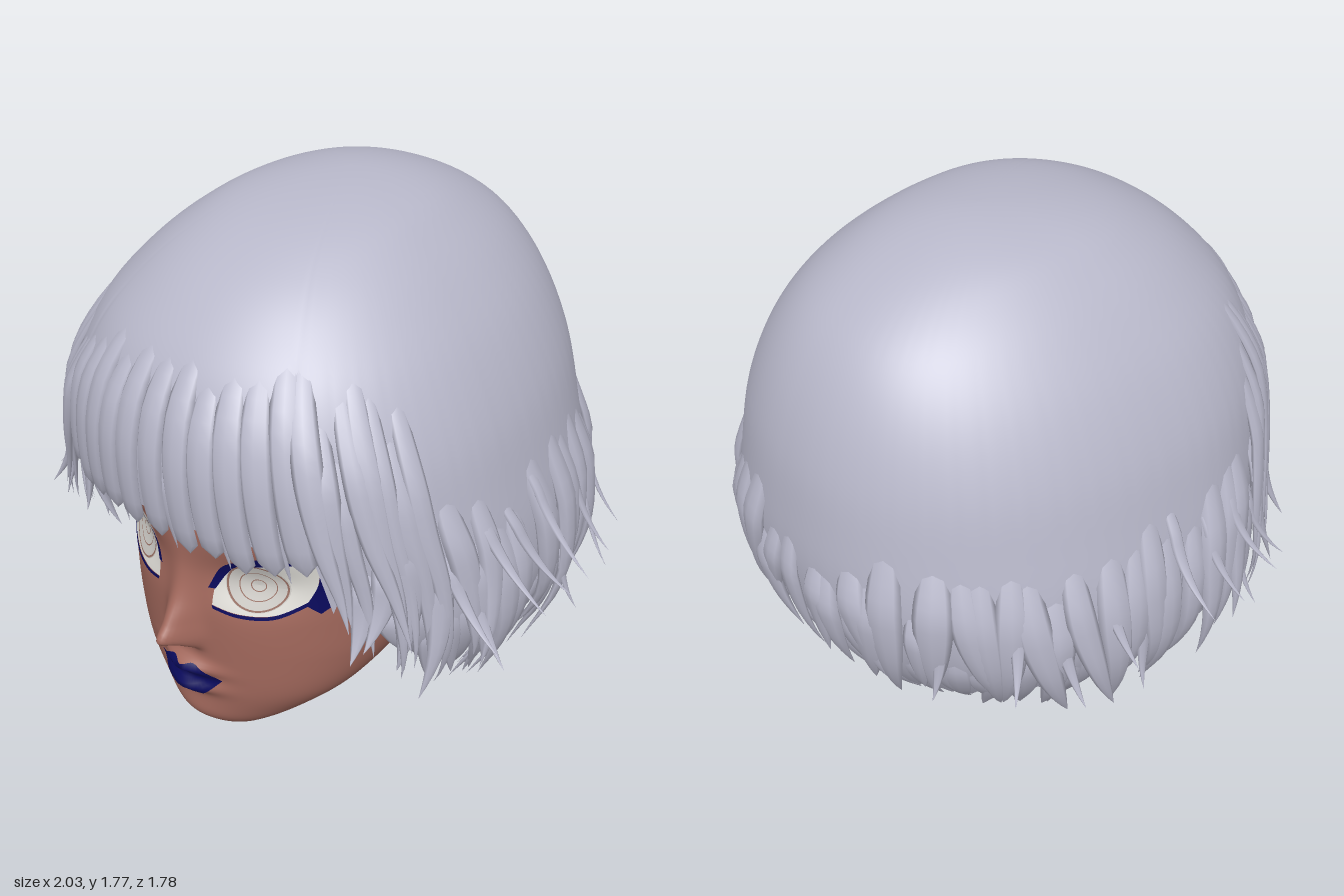
import * as THREE from 'three';
import { mergeGeometries } from 'three/addons/utils/BufferGeometryUtils.js';

const mat = (name, color, side = THREE.DoubleSide) => {
  const m = new THREE.MeshStandardMaterial({ color, side });
  m.name = name;
  return m;
};
const { lerp, degToRad, clamp } = THREE.MathUtils;
const bell = (d, s) => Math.exp(-(d * d) / (s * s));

// Smooth curve through a few [x, y] knots
const curve = (p) => (x) => {
  let i = 1;
  while (i < p.length - 1 && x > p[i][0]) i++;
  const slope = (k) => {
    const a = p[Math.max(k - 1, 0)], b = p[Math.min(k + 1, p.length - 1)];
    return (b[1] - a[1]) / (b[0] - a[0]);
  };
  const h = p[i][0] - p[i - 1][0], t = clamp((x - p[i - 1][0]) / h, 0, 1);
  const t2 = t * t, t3 = t2 * t;
  return (2 * t3 - 3 * t2 + 1) * p[i - 1][1] + (t3 - 2 * t2 + t) * h * slope(i - 1)
    + (3 * t2 - 2 * t3) * p[i][1] + (t3 - t2) * h * slope(i);
};

// Horizontal sections: rows of [y, half width, front z, back z]
const sections = (rows, key) => {
  const c = [1, 2, 3].map((k) => curve(rows.map((r) => [key(r[0]), r[k]])));
  return (y) => c.map((f) => f(key(y)));
};

// Surface from rows of points; wrap joins the last column to the first
function grid(rows, cols, fn, wrap) {
  const pos = [], idx = [], n = wrap ? cols : cols + 1;
  for (let i = 0; i <= rows; i++)
    for (let j = 0; j < n; j++) pos.push(...fn(i / rows, j / cols));
  for (let i = 0; i < rows; i++)
    for (let j = 0; j < cols; j++) {
      const a = i * n + j, b = i * n + ((j + 1) % n);
      idx.push(a, b, a + n, b, b + n, a + n);
    }
  const g = new THREE.BufferGeometry();
  g.setAttribute('position', new THREE.Float32BufferAttribute(pos, 3));
  g.setIndex(idx);
  g.computeVertexNormals();
  return g;
}

// ---- Head ----
const HEAD_TOP = 1.52;
const headAt = sections([
  [0, 0, 0.6, 0.6], [0.03, 0.14, 0.68, 0.46], [0.08, 0.23, 0.72, 0.26], [0.14, 0.31, 0.735, 0.1],
  [0.25, 0.42, 0.745, -0.1], [0.4, 0.5, 0.755, -0.4], [0.55, 0.535, 0.76, -0.58], [0.7, 0.56, 0.755, -0.68],
  [0.9, 0.6, 0.765, -0.74], [1.1, 0.59, 0.73, -0.73], [1.3, 0.5, 0.58, -0.6], [1.45, 0.3, 0.3, -0.35],
  [HEAD_TOP, 0, 0, 0],
], (y) => Math.sqrt(Math.max(y, 0)));
const noseHeight = curve([[0.39, 0], [0.425, 0.045], [0.465, 0.125], [0.52, 0.088], [0.6, 0.038], [0.7, 0.012], [0.82, 0]]);

function relief(x, y) {
  const ax = Math.abs(x);
  return noseHeight(y) * bell(x, 0.05)
    + 0.025 * bell(ax - 0.045, 0.025) * bell(y - 0.43, 0.03)
    + 0.045 * bell(x, 0.1) * (bell(y - 0.315, 0.026) + bell(y - 0.235, 0.032))
    - 0.04 * bell(ax - 0.24, 0.13) * bell(y - 0.7, 0.09)
    + 0.015 * bell(x, 0.12) * bell(y - 0.09, 0.06);
}
function headPoint(a, y) {
  const [w, f, b] = headAt(y), zc = lerp(b, f, 0.58), c = Math.cos(a), x = w * Math.sin(a);
  return [x, y, zc + c * (c > 0 ? f - zc : zc - b) + relief(x, y) * clamp(c * 3, 0, 1)];
}
const faceZ = (x, y) => headPoint(Math.asin(clamp(x / headAt(y)[0], -1, 1)), y)[2];

// Thin painted patch between a lower and an upper edge, laid on the face
function patch(top, bottom, lift, side = 1) {
  const spline = (p) => new THREE.SplineCurve(p.map(([x, y]) => new THREE.Vector2(x * side, y)));
  let hi = spline(top), lo = spline(bottom);
  if (side < 0) [hi, lo] = [lo, hi];
  return grid(8, 28, (v, t) => {
    const p = lo.getPoint(t).lerp(hi.getPoint(t), v);
    return [p.x, p.y, faceZ(p.x, p.y) + lift];
  });
}
function ring(cx, cy, r0, r1, lift) {
  const g = new THREE.RingGeometry(r0, r1, 40, 4).translate(cx, cy, 0), p = g.attributes.position;
  for (let i = 0; i < p.count; i++) p.setZ(i, faceZ(p.getX(i), p.getY(i)) + lift);
  g.computeVertexNormals();
  return g;
}

// ---- Hair ----
const CROWN = 1.775;
const hairAt = sections([
  [CROWN, 0, -0.08, -0.08], [1.73, 0.27, 0.3, -0.35], [1.65, 0.4, 0.5, -0.53], [1.55, 0.51, 0.64, -0.66],
  [1.4, 0.63, 0.77, -0.76], [1.2, 0.73, 0.84, -0.83], [1, 0.785, 0.845, -0.86], [0.8, 0.825, 0.81, -0.87],
  [0.6, 0.83, 0.78, -0.84], [0.45, 0.78, 0.74, -0.78], [0.3, 0.68, 0.68, -0.68], [0.08, 0.52, 0.6, -0.5],
], (y) => Math.sqrt(Math.max(CROWN - y, 0)));
const bulge = (v) => Math.sign(v) * Math.abs(v) ** 0.91;
function hairPoint(a, y) {
  const [w, f, b] = hairAt(y), zc = lerp(b, f, 0.56), c = bulge(Math.cos(a));
  return new THREE.Vector3(w * bulge(Math.sin(a)), y, zc + c * (c > 0 ? f - zc : zc - b));
}
const capHem = curve([[40, 0.75], [60, 0.6], [90, 0.5], [120, 0.42], [150, 0.37], [180, 0.36]]);
const lockTip = curve([[38, 0.64], [48, 0.5], [60, 0.34], [75, 0.28], [90, 0.14], [105, 0.12], [125, 0.19], [150, 0.27], [180, 0.3]]);

// Tapered lock lying on the hair surface, from height y0 down to y1
function lock(a, y0, y1, width, { flare = 0, sway = 0, blunt = 0, lift = 0.01, steps = 14 } = {}) {
  return grid(steps, 8, (s, t) => {
    const y = lerp(y0, y1, s), ang = a + sway * s * s;
    const p = hairPoint(ang, y);
    const side = hairPoint(ang + 0.02, y).sub(hairPoint(ang - 0.02, y)).normalize();
    const out = new THREE.Vector3(-side.z, 0, side.x);
    p.addScaledVector(out, lerp(-0.03, lift, Math.min(1, s * 3)) + flare * s ** 3);
    const taper = s === 1 ? 0 : (0.35 + 0.65 * Math.sin(Math.min(1, s * 2) * Math.PI / 2)) * (1 - (1 - blunt) * s ** 2.4);
    const q = t * Math.PI * 2;
    p.addScaledVector(side, Math.cos(q) * width * taper).addScaledVector(out, Math.sin(q) * width * 0.4 * taper);
    return p.toArray();
  }, true);
}

export function createModel() {
  const model = new THREE.Group();
  model.name = 'head';
  const bust = new THREE.Group();
  bust.name = 'headAndHair';
  bust.position.x = -0.02;
  model.add(bust);

  const skin = mat('skin', 0xa3695d, THREE.FrontSide), hair = mat('silver hair', 0xb8b8ca);
  const navy = mat('navy makeup', 0x0a0a5c), white = mat('eye white', 0xe6e4de);
  const iris = mat('pale iris', 0xd2cfca), line = mat('iris line', 0x9c7468);
  const add = (name, geometry, material) => {
    const m = new THREE.Mesh(geometry, material);
    m.name = name;
    bust.add(m);
  };

  let seed = 7;
  const rnd = (lo, hi) => {
    seed = (seed * 16807) % 2147483647;
    return lerp(lo, hi, seed / 2147483647);
  };

  // Face and skull, with columns closer together at the front
  add('face', grid(140, 160, (v, t) => {
    const k = t * 2 - 1;
    return headPoint(Math.PI * (0.5 * k + 0.5 * k ** 3), HEAD_TOP * v * v);
  }, true), skin);

  // Lips
  add('lips', patch(
    [[-0.135, 0.288], [-0.05, 0.336], [0, 0.326], [0.05, 0.336], [0.135, 0.288]],
    [[-0.135, 0.288], [-0.065, 0.212], [0, 0.197], [0.065, 0.212], [0.135, 0.288]], 0.008), navy);

  // Eyes, lashes and brows
  for (const s of [1, -1]) {
    const lower = [[0.115, 0.6], [0.2, 0.585], [0.3, 0.595], [0.385, 0.65], [0.42, 0.83]];
    add('eyeWhite', patch([[0.115, 0.6], [0.125, 0.68], [0.19, 0.765], [0.28, 0.79], [0.42, 0.83]], lower, 0.006, s), white);
    add('upperLash', patch([[0.1, 0.66], [0.15, 0.755], [0.26, 0.815], [0.36, 0.835], [0.5, 0.89]],
      [[0.122, 0.66], [0.175, 0.745], [0.27, 0.783], [0.36, 0.803], [0.42, 0.82]], 0.009, s), navy);
    add('lowerLash', patch(lower.slice(0, 4), lower.slice(0, 4).map(([x, y]) => [x + 0.004, y - 0.012]), 0.008, s), navy);
    add('lashWing', patch([[0.375, 0.635], [0.405, 0.72], [0.42, 0.83]], [[0.41, 0.6], [0.465, 0.68], [0.48, 0.84]], 0.008, s), navy);
    add('brow', patch([[0.09, 0.88], [0.25, 0.91], [0.48, 0.91]], [[0.09, 0.865], [0.25, 0.89], [0.48, 0.9]], 0.008, s), navy);
    const x = 0.243 * s, y = 0.69;
    add('iris', ring(x, y, 0, 0.092, 0.008), iris);
    for (const [r0, r1] of [[0.083, 0.089], [0.052, 0.055], [0.02, 0.023]]) add('irisRing', ring(x, y, r0, r1, 0.0095), line);
  }

  // Smooth cap, cut high over the face and jagged below
  add('hairCap', grid(48, 200, (v, t) => {
    const a = (t * 2 - 1) * Math.PI, deg = Math.abs(a) * 180 / Math.PI;
    const hem = deg < 36 ? 0.95 : capHem(deg) + 0.03 * Math.sin(deg * 1.3);
    return hairPoint(a, CROWN - (CROWN - hem) * (1 - v) ** 2).toArray();
  }, true), hair);

  // Blunt fringe
  const fringe = [];
  for (let i = 0; i < 11; i++) {
    const x = -0.46 + i * 0.092;
    fringe.push(lock(Math.asin(x / 0.83), 1.55 + rnd(-0.1, 0.05), 0.85 + rnd(-0.02, 0.025), 0.052, { blunt: 0.78, lift: 0.006 }));
    if (i % 2) fringe.push(lock(Math.asin((x + 0.04) / 0.83), 1.2, 0.825, 0.022, { lift: 0 }));
  }
  add('fringe', mergeGeometries(fringe), hair);

  // Long curtains framing the face
  const curtains = [];
  for (const s of [1, -1])
    for (let d = 38; d < 66; d += 3.5)
      curtains.push(lock(degToRad(d) * s, 1.6 - rnd(0, 0.3), lockTip(d) + rnd(0, 0.14), rnd(0.035, 0.055),
        { flare: rnd(0.01, 0.09), sway: s * rnd(-0.05, 0.12), lift: 0.018, steps: 20 }));
  add('faceCurtains', mergeGeometries(curtains), hair);

  // Two layers of ragged locks round the sides and back
  const locks = [];
  for (const s of [1, -1])
    for (let d = 48; d <= 180; d += 5) {
      const side = d < 130 ? 1 : 0.3;
      locks.push(lock(degToRad(d + rnd(-2, 2)) * s, rnd(0.85, 1.15), lockTip(d) + rnd(0.08, 0.22), rnd(0.05, 0.075),
        { flare: side * rnd(0.02, 0.12), sway: s * rnd(-0.14, 0.1), lift: 0.012 }));
      locks.push(lock(degToRad(d + 2.5) * s, rnd(0.65, 0.8), lockTip(d) + rnd(-0.02, 0.07), rnd(0.045, 0.065),
        { flare: side * rnd(-0.02, 0.06), sway: s * rnd(-0.12, 0.12), lift: -0.01 }));
    }
  add('sideAndBackLocks', mergeGeometries(locks), hair);

  // Thin flyaway tips curling outward
  const flyaways = [];
  for (const s of [1, -1])
    for (const [d, y, out] of [[66, 0.6, 0.14], [72, 0.5, 0.13], [78, 0.7, 0.16], [86, 0.66, 0.13], [94, 0.72, 0.16],
      [100, 0.42, 0.12], [108, 0.6, 0.11], [118, 0.48, 0.13], [126, 0.55, 0.12], [142, 0.5, 0.08]])
      flyaways.push(lock(degToRad(d) * s, y + 0.35, y, 0.028, { flare: out + (s > 0 ? 0.03 : 0), sway: s * rnd(-0.1, 0.1) }));
  add('flyaways', mergeGeometries(flyaways), hair);

  return model;
}
